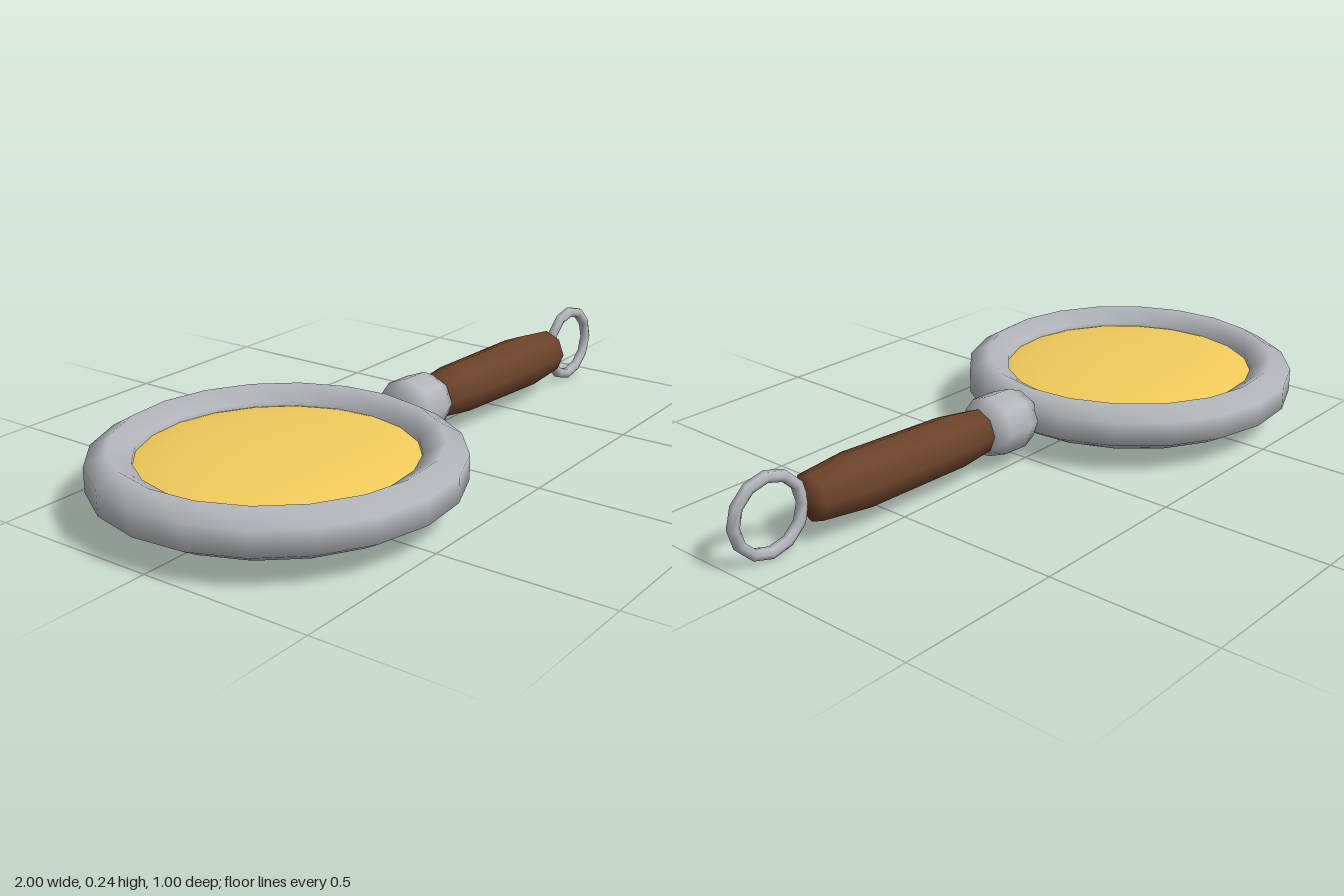
import * as THREE from 'three';
import { mergeVertices } from 'three/addons/utils/BufferGeometryUtils.js';

const metal = new THREE.MeshStandardMaterial({ color: 0xb4b8bc });
const wood = new THREE.MeshStandardMaterial({ color: 0x6b432a });
const glass = new THREE.MeshStandardMaterial({ color: 0xf2cc5c });

function part(name, geometry, material) {
  const mesh = new THREE.Mesh(geometry, material);
  mesh.name = name;
  return mesh;
}

// Ring around y with a six-sided section, flat on its inner and outer sides
function hexRing(radius, tube, segments) {
  const points = [];
  for (let i = 0; i <= 6; i++) {
    const a = Math.PI / 6 + (i * Math.PI) / 3;
    points.push(new THREE.Vector2(radius + tube * Math.cos(a), tube * Math.sin(a)));
  }
  const lathe = new THREE.LatheGeometry(points, segments);
  lathe.deleteAttribute('normal');
  lathe.deleteAttribute('uv');
  const geometry = mergeVertices(lathe, 1e-4);
  geometry.computeVertexNormals();
  return geometry;
}

// Eight-sided turned shape along +x, from [distance, radius] pairs
function turned(profile) {
  const points = profile.map(([d, r]) => new THREE.Vector2(r, d));
  return new THREE.LatheGeometry(points, 8).rotateZ(-Math.PI / 2);
}

export function createModel() {
  const model = new THREE.Group();
  model.name = 'magnifyingGlass';

  // Everything shares the centre of the lens, with the handle turned slightly forward
  const body = new THREE.Group();
  body.name = 'body';
  body.position.set(-0.5, 0.125, 0);
  body.rotation.y = -0.07;
  model.add(body);

  // Rim and the convex lens inside it
  body.add(part('rim', hexRing(0.44, 0.07, 20), metal));
  const lens = part('lens', new THREE.SphereGeometry(1, 20, 12), glass);
  lens.scale.set(0.42, 0.05, 0.42);
  body.add(lens);

  // Rounded collar between rim and handle
  body.add(part('collar', turned([
    [0.482, 0], [0.482, 0.073], [0.53, 0.093], [0.61, 0.093], [0.652, 0.073], [0.665, 0],
  ]), metal));

  // Wooden handle, swelling towards its end
  body.add(part('handle', turned([
    [0.64, 0], [0.645, 0.065], [0.76, 0.08], [1.1, 0.085], [1.25, 0.069], [1.27, 0.02], [1.27, 0],
  ]), wood));

  // Upright hanging ring
  const loop = part('hangingRing', hexRing(0.106, 0.017, 12).rotateX(Math.PI / 2), metal);
  loop.position.set(1.381, -0.002, 0);
  body.add(loop);

  return model;
}
